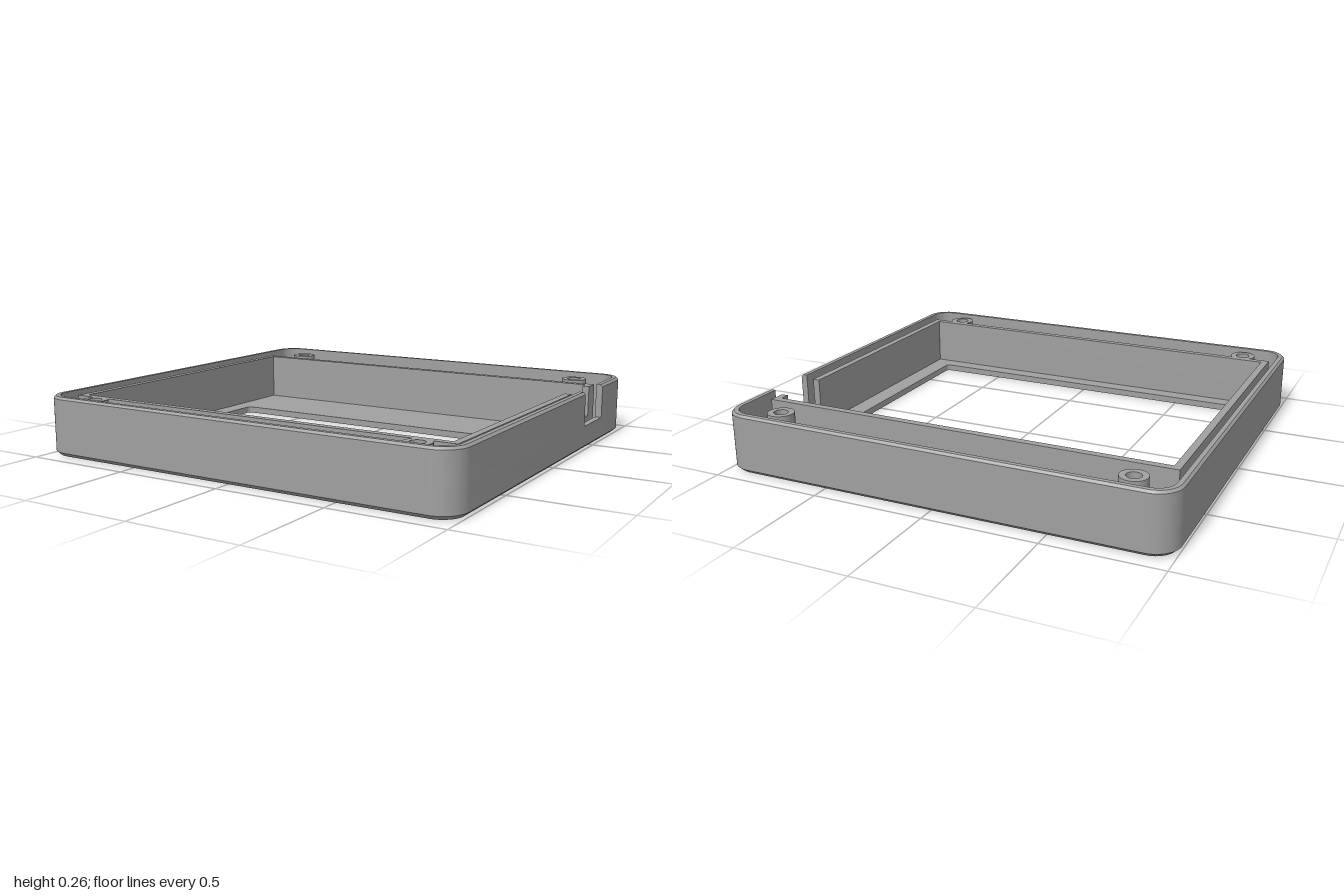
import * as THREE from 'three';
import { toCreasedNormals } from 'three/addons/utils/BufferGeometryUtils.js';

const W = 1, D = 0.94, R = 0.11;            // half width, half depth, corner radius
const WALL = 0.03, FLOOR = 0.03, TOP = 0.265, RIM = 0.25;
const NOTCH = { y: 0.11, front: -0.375, back: -0.61 };

// Outline of the case as corner centres with outward directions, from notch edge to notch edge
function outline() {
  const pts = [{ x: W - R, z: NOTCH.front, a: 0 }];
  [[1, 1], [-1, 1], [-1, -1], [1, -1]].forEach(([sx, sz], k) => {
    for (let i = 0; i <= 12; i++) {
      pts.push({ x: sx * (W - R), z: sz * (D - R), a: (k + i / 12) * Math.PI / 2 });
    }
  });
  pts.push({ x: W - R, z: NOTCH.back, a: Math.PI * 2 });
  return pts;
}

// Sweep a profile of [inset, y] points along the outline
function sweepWall(profile, closed) {
  const path = outline(), n = profile.length, pos = [];
  const at = (i, j) => {
    const p = path[i % path.length], [inset, y] = profile[j % n];
    return [p.x + (R - inset) * Math.cos(p.a), y, p.z + (R - inset) * Math.sin(p.a)];
  };
  const tri = (a, b, c) => pos.push(...a, ...b, ...c);
  const spans = closed ? path.length : path.length - 1;
  for (let i = 0; i < spans; i++) {
    for (let j = 0; j < n; j++) {
      const a = at(i, j), b = at(i, j + 1), c = at(i + 1, j + 1), d = at(i + 1, j);
      tri(a, b, c);
      tri(a, c, d);
    }
  }
  if (!closed) {
    const e = path.length - 1;
    for (let j = 1; j < n - 1; j++) {
      tri(at(0, 0), at(0, j + 1), at(0, j));
      tri(at(e, 0), at(e, j), at(e, j + 1));
    }
  }
  const g = new THREE.BufferGeometry();
  g.setAttribute('position', new THREE.Float32BufferAttribute(pos, 3));
  return toCreasedNormals(g, 0.5);
}

// Rectangle in plan (shape y is -z) with rounded corners
function roundedRect(Type, x, zBack, zFront, r) {
  const s = new Type(), t = -zBack, b = -zFront;
  s.moveTo(x, b + r);
  s.lineTo(x, t - r).absarc(x - r, t - r, r, 0, Math.PI / 2);
  s.lineTo(-x + r, t).absarc(-x + r, t - r, r, Math.PI / 2, Math.PI);
  s.lineTo(-x, b + r).absarc(-x + r, b + r, r, Math.PI, Math.PI * 1.5);
  s.lineTo(x - r, b).absarc(x - r, b + r, r, Math.PI * 1.5, Math.PI * 2);
  return s;
}

function planShape(Type, pts) {
  return new Type(pts.map(([x, z]) => new THREE.Vector2(x, -z)));
}

// Raise a plan shape between two heights
function raise(shape, y0, y1) {
  const g = new THREE.ExtrudeGeometry(shape, { depth: y1 - y0, bevelEnabled: false, curveSegments: 12 });
  g.rotateX(-Math.PI / 2);
  g.translate(0, y0, 0);
  return toCreasedNormals(g, 0.5);
}

export function createModel() {
  const group = new THREE.Group();
  const grey = new THREE.MeshStandardMaterial({ color: 0xa0a0a0 });
  grey.name = 'grey plastic';
  const add = (name, geometry) => {
    const m = new THREE.Mesh(geometry, grey);
    m.name = name;
    group.add(m);
    return m;
  };

  // Floor plate with the display window
  const floor = roundedRect(THREE.Shape, W - WALL, -D + WALL, D - WALL, R - WALL);
  floor.holes.push(roundedRect(THREE.Path, 0.815, -0.305, 0.69, 0.02));
  add('floor', raise(floor, 0, FLOOR));

  // Outer wall: full ring below the notch, open ring above it
  add('lowerWall', sweepWall([[0.02, 0], [0, 0.018], [0, NOTCH.y], [WALL, NOTCH.y], [WALL, 0]], true));
  add('upperWall', sweepWall(
    [[0, NOTCH.y], [0, TOP - 0.01], [0.01, TOP], [WALL, TOP], [WALL, NOTCH.y]], false));

  // Inner frame around the display, cut by the same notch
  const xo = 0.935, xi = 0.903, bo = -0.685, bi = -0.652, fo = 0.795, fi = 0.763;
  const ring = planShape(THREE.Shape, [[xo, fo], [xo, bo], [-xo, bo], [-xo, fo]]);
  ring.holes.push(planShape(THREE.Path, [[xi, fi], [xi, bi], [-xi, bi], [-xi, fi]]));
  add('lowerFrame', raise(ring, FLOOR, NOTCH.y));
  const { front, back } = NOTCH;
  add('upperFrame', raise(planShape(THREE.Shape, [
    [xo, front], [xo, fo], [-xo, fo], [-xo, bo], [xo, bo], [xo, back],
    [xi, back], [xi, bi], [-xi, bi], [-xi, fi], [xi, fi], [xi, front],
  ]), NOTCH.y, RIM));

  // Four screw posts with blind holes
  const profile = [[0.058, FLOOR], [0.058, RIM], [0.031, RIM], [0.031, 0.06], [0, 0.06]]
    .map(([r, y]) => new THREE.Vector2(r, y));
  const post = toCreasedNormals(new THREE.LatheGeometry(profile, 32), 0.5);
  for (const x of [-0.795, 0.795]) {
    for (const z of [-0.8, 0.835]) add('screwPost', post).position.set(x, 0, z);
  }

  return group;
}
